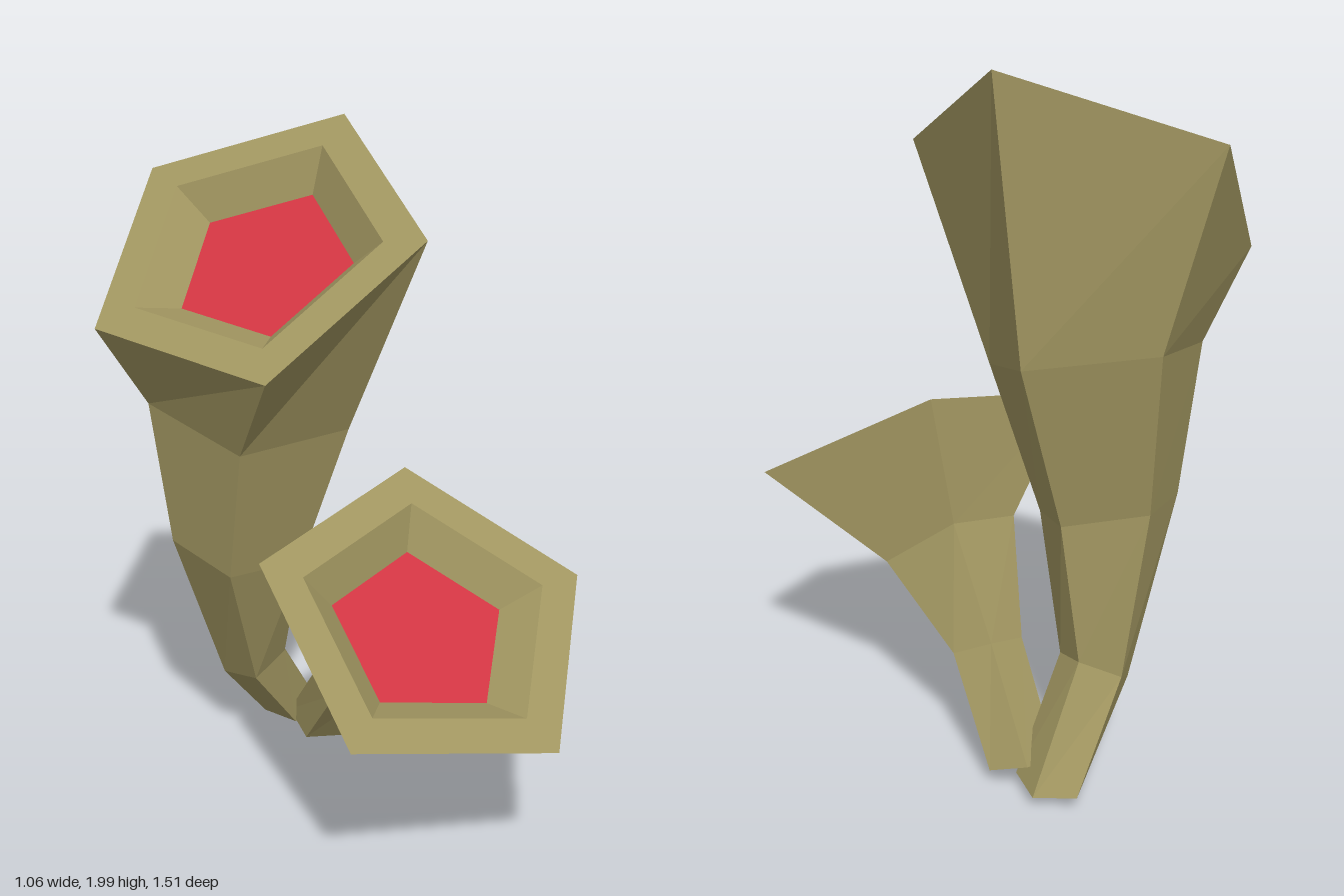
import * as THREE from 'three';

const SIDES = 5;

// Pentagon cross-section: centre c, axis a towards corner 0, axis b at right angles
function ring([cx, cy, cz, ax, ay, az, bx, by, bz], scale = 1, sink = 0) {
  const a = new THREE.Vector3(ax, ay, az);
  const b = new THREE.Vector3(bx, by, bz);
  const centre = new THREE.Vector3(cx, cy, cz)
    .addScaledVector(new THREE.Vector3().crossVectors(a, b).normalize(), -sink);
  return Array.from({ length: SIDES }, (_, k) => {
    const t = (k / SIDES) * Math.PI * 2;
    return centre.clone()
      .addScaledVector(a, Math.cos(t) * scale)
      .addScaledVector(b, Math.sin(t) * scale);
  });
}

// Faceted mesh from a list of triangle corners
function facetedMesh(name, corners, color) {
  const geometry = new THREE.BufferGeometry().setFromPoints(corners);
  geometry.computeVertexNormals();
  const material = new THREE.MeshStandardMaterial({ color, flatShading: true });
  const mesh = new THREE.Mesh(geometry, material);
  mesh.name = name;
  return mesh;
}

// Triangles joining successive rings
function loft(rings) {
  const out = [];
  for (let i = 0; i < rings.length - 1; i++) {
    const lo = rings[i], hi = rings[i + 1];
    for (let k = 0; k < SIDES; k++) {
      const n = (k + 1) % SIDES;
      out.push(lo[k], lo[n], hi[n], lo[k], hi[n], hi[k]);
    }
  }
  return out;
}

// Triangles filling one ring
function fan(r) {
  const out = [];
  for (let k = 1; k < SIDES - 1; k++) out.push(r[0], r[k], r[k + 1]);
  return out;
}

// Flaring horn: closed foot, flat rim, sunken mouth with a coloured floor
function horn(name, sections) {
  const rim = sections[sections.length - 1];
  const outer = sections.map((s) => ring(s));
  const lip = ring(rim, 0.75);
  const floor = ring(rim, 0.53, 0.09);
  const foot = fan([...outer[0]].reverse());

  const group = new THREE.Group();
  group.name = name;
  group.add(
    facetedMesh(name + 'Shell', [...foot, ...loft([...outer, lip, floor])], 0xa09560),
    facetedMesh(name + 'MouthFloor', fan(floor), 0xd03542),
  );
  return group;
}

export function createModel() {
  const model = new THREE.Group();
  model.name = 'twinHorns';

  // Sections from foot to rim
  model.add(horn('tallHorn', [
    [0.136, 0.04, -0.497, 0.096, 0, -0.04, -0.033, 0, -0.104],
    [-0.052, 0.316, -0.444, 0.088, 0.055, -0.035, -0.038, -0.008, -0.098],
    [-0.134, 0.759, -0.378, 0.202, 0.011, -0.052, -0.053, 0.049, -0.189],
    [-0.092, 1.205, -0.356, 0.296, 0.035, -0.074, -0.085, 0.073, -0.283],
    [-0.123, 1.689, -0.277, 0.383, 0.311, -0.103, -0.172, 0.05, -0.475],
  ]));

  model.add(horn('shortHorn', [
    [0.16, 0.045, -0.382, 0.04, 0.043, -0.086, -0.094, 0.008, -0.037],
    [0.134, 0.312, -0.171, 0.034, 0.052, -0.074, -0.104, 0.008, -0.03],
    [0.094, 0.525, 0.082, 0.076, 0.142, -0.142, -0.192, 0.052, -0.065],
    [0.025, 0.74, 0.362, 0.179, 0.294, -0.362, -0.472, 0.084, -0.163],
  ]));

  return model;
}
